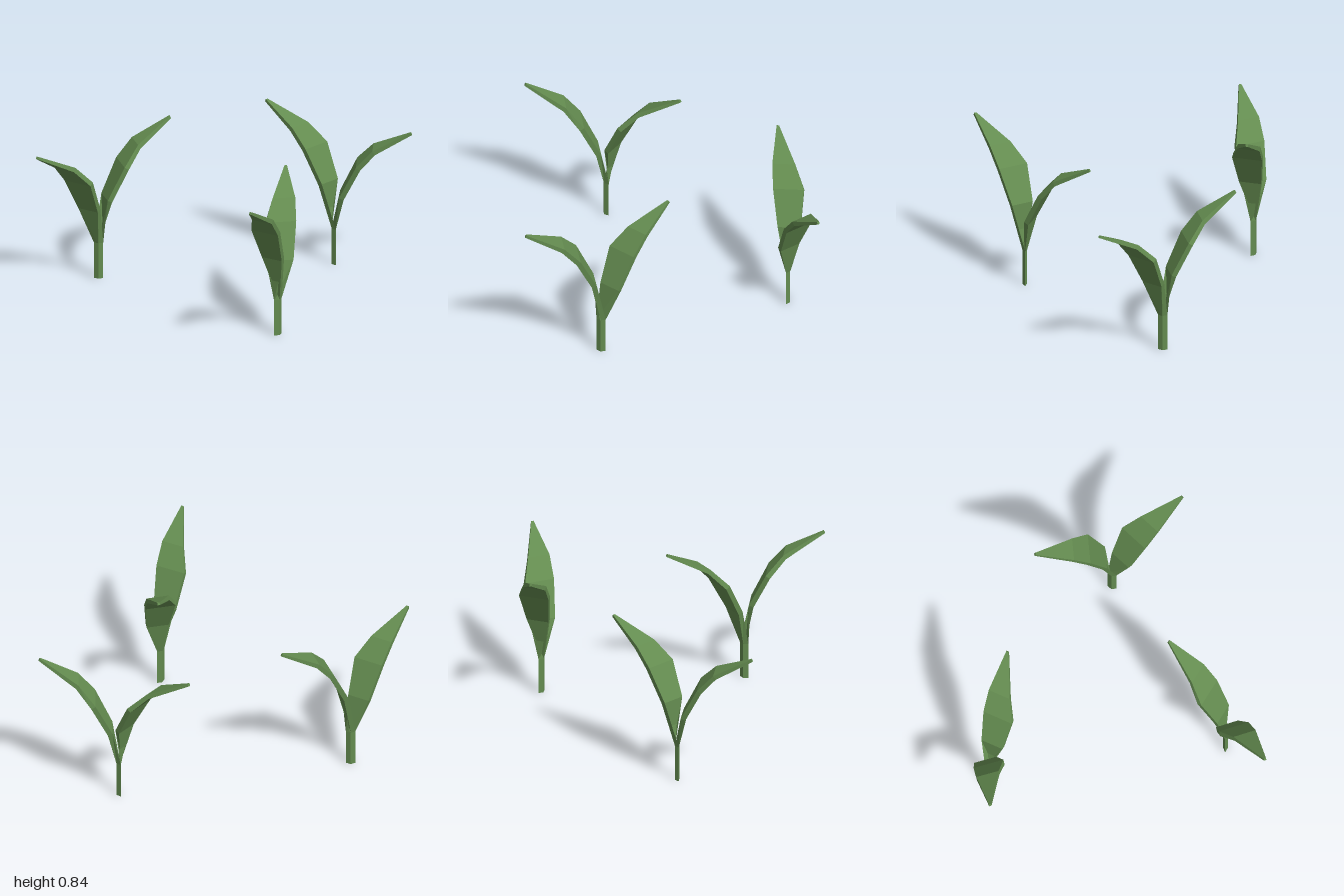
import * as THREE from 'three';

const rad = THREE.MathUtils.degToRad;
const STEM_TOP = 0.2, STEM_ANGLE = rad(22), STEM_W = 0.05, STEM_T = 0.025;

// blade rows: outward reach, height, the two side edges, thickness
const ROWS = [
  [0.032, 0.455, 0.072, -0.05, 0.027],
  [0.122, 0.637, 0.102, -0.062, 0.027],
  [0.21, 0.737, 0.112, -0.01, 0.025],
  [0.413, 0.843, 0.103, 0.09, 0.014],
];

// a curved blade with four-cornered cross-sections, growing from one half of the diamond stem
function leafGeometry({ angle, mirror, drop, shift }) {
  const c = Math.cos(angle), s = Math.sin(angle), side = mirror ? -1 : 1;
  const place = (u, y, v) => [u * c - v * side * s, y, u * s + v * side * c];
  const ec = Math.cos(STEM_ANGLE), es = Math.sin(STEM_ANGLE);
  const onStem = (e, n) => [e * ec - n * es, STEM_TOP, e * es + n * ec];
  const w = STEM_W / 2, t = side * STEM_T / 2;
  const rings = [[onStem(w, 0), onStem(-w, 0), onStem(-0.002, t), onStem(0.002, t)]];
  ROWS.forEach(([u, y, hi, lo, thick], i) => {
    const a = ROWS[Math.max(i - 1, 0)], b = ROWS[Math.min(i + 1, ROWS.length - 1)];
    const du = b[0] - a[0], dy = b[1] - a[1], len = Math.hypot(du, dy);
    const ou = u + dy / len * thick, oy = y - du / len * thick;
    const h = hi + shift, l = lo + shift;
    rings.push([place(u, y - drop, l), place(u, y - drop, h), place(ou, oy - drop, h), place(ou, oy - drop, l)]);
  });
  const pos = [];
  const tri = (a, b, d) => pos.push(...a, ...(mirror ? d : b), ...(mirror ? b : d));
  const quad = (a, b, d, e) => { tri(a, b, d); tri(a, d, e); };
  for (let i = 0; i < rings.length - 1; i++) {
    for (let k = 0; k < 4; k++) {
      const n = (k + 1) % 4;
      quad(rings[i][k], rings[i][n], rings[i + 1][n], rings[i + 1][k]);
    }
  }
  quad(...rings[rings.length - 1]);
  const geo = new THREE.BufferGeometry();
  geo.setAttribute('position', new THREE.Float32BufferAttribute(pos, 3));
  geo.computeVertexNormals();
  return geo;
}

export function createModel() {
  const green = new THREE.MeshStandardMaterial({ color: 0x648c50, flatShading: true, side: THREE.DoubleSide });
  green.name = 'leafGreen';

  // diamond-section stem
  const stemGeo = new THREE.CylinderGeometry(0.5, 0.5, STEM_TOP, 4);
  stemGeo.scale(STEM_W, 1, STEM_T);
  stemGeo.translate(0, STEM_TOP / 2, 0);
  stemGeo.rotateY(-STEM_ANGLE);
  const parts = {
    stem: stemGeo,
    tallLeaf: leafGeometry({ angle: 0, mirror: true, drop: 0, shift: -0.014 }),
    shortLeaf: leafGeometry({ angle: rad(139), mirror: false, drop: 0.05, shift: 0.018 }),
  };

  // three identical sprouts, each turned differently
  const model = new THREE.Group();
  model.name = 'sprouts';
  const spots = [[-0.605, -0.607, 0], [0.076, 0.452, 137], [0.645, -0.468, 240]];
  for (const [x, z, turn] of spots) {
    const sprout = new THREE.Group();
    sprout.name = 'sprout';
    for (const [name, geo] of Object.entries(parts)) {
      const mesh = new THREE.Mesh(geo, green);
      mesh.name = name;
      sprout.add(mesh);
    }
    sprout.position.set(x, 0, z);
    sprout.rotation.y = -rad(turn);
    model.add(sprout);
  }
  return model;
}
